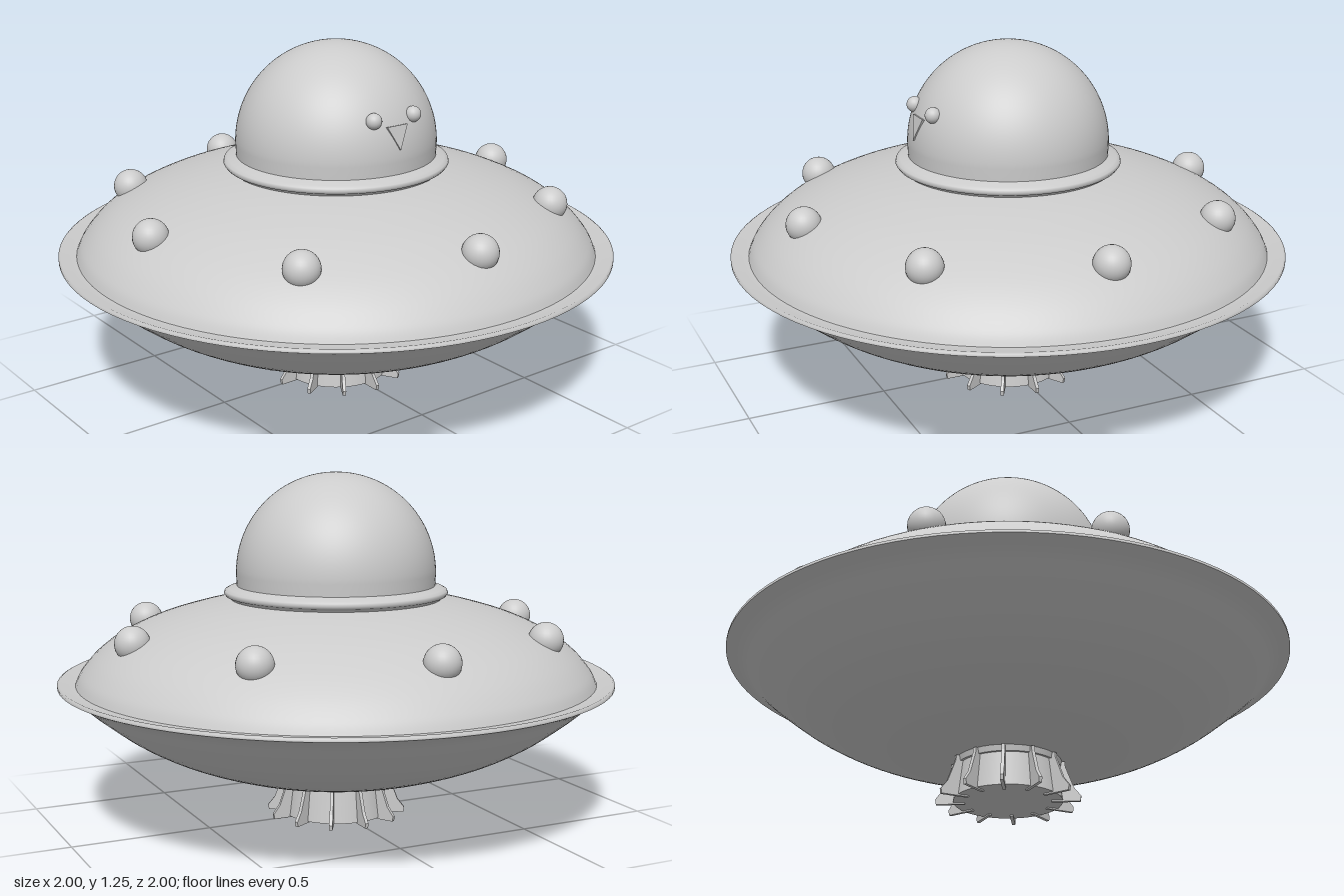
import * as THREE from 'three';

const material = new THREE.MeshStandardMaterial({ color: 0xcccccc });

function addMesh(parent, name, geometry) {
  const mesh = new THREE.Mesh(geometry, material);
  mesh.name = name;
  parent.add(mesh);
  return mesh;
}

// Smooth revolved surface; the profile runs [radius, y] from bottom to top.
function revolve(profile, smooth = 0) {
  let points = profile.map(([r, y]) => new THREE.Vector2(r, y));
  if (smooth) points = new THREE.SplineCurve(points).getPoints(smooth);
  points.forEach((p) => { p.x = Math.max(p.x, 0); });
  return new THREE.LatheGeometry(points, 96);
}

// Calls build(angle) for evenly spaced positions around the y axis.
function around(count, build) {
  for (let i = 0; i < count; i++) build((i / count) * Math.PI * 2);
}

export function createModel() {
  const model = new THREE.Group();
  model.name = 'flyingSaucer';

  // Saucer: bowl, flat rim and convex deck
  addMesh(model, 'lowerHull', revolve([
    [0, 0.135], [0.2, 0.148], [0.4, 0.183], [0.6, 0.25], [0.75, 0.327],
    [0.87, 0.415], [0.94, 0.473], [1, 0.505],
  ], 40));
  addMesh(model, 'rim', revolve([
    [1, 0.505], [1, 0.514], [0.993, 0.518], [0.96, 0.508], [0.925, 0.508],
  ]));
  addMesh(model, 'upperHull', revolve([
    [0.938, 0.505], [0.915, 0.55], [0.86, 0.612], [0.78, 0.67],
    [0.66, 0.726], [0.52, 0.769], [0.4, 0.795], [0.3, 0.81],
  ], 40));

  // Bulbs set around the deck
  const bulbs = new THREE.Group();
  bulbs.name = 'deckBulbs';
  model.add(bulbs);
  const bulbGeometry = new THREE.SphereGeometry(0.062, 28, 18);
  around(8, (angle) => {
    const bulb = addMesh(bulbs, 'deckBulb', bulbGeometry);
    bulb.position.set(Math.sin(angle) * 0.767, 0.684, Math.cos(angle) * 0.767);
  });

  // Dome and its rounded collar
  addMesh(model, 'domeCollar', revolve([
    [0.375, 0.79], [0.382, 0.805], [0.398, 0.811], [0.404, 0.82],
    [0.401, 0.83], [0.388, 0.837], [0.37, 0.842], [0.35, 0.85],
  ]));
  const dome = [[0.357, 0.82]];
  for (let i = 0; i <= 32; i++) {
    const t = (i / 32) * Math.PI / 2;
    dome.push([0.36 * Math.cos(t), 0.89 + 0.36 * Math.sin(t)]);
  }
  addMesh(model, 'dome', revolve(dome));

  // Face: two eyes and a triangular beak lying on the dome
  const face = new THREE.Group();
  face.name = 'face';
  model.add(face);
  for (const side of [-1, 1]) {
    const eye = addMesh(face, 'eye', new THREE.SphereGeometry(0.028, 20, 14));
    eye.position.set(side * 0.085, 1.037, 0.322);
  }
  const triangle = new THREE.Shape([
    new THREE.Vector2(-0.044, 0.036), new THREE.Vector2(0, -0.048), new THREE.Vector2(0.044, 0.036),
  ]);
  const beak = addMesh(face, 'beak', new THREE.ExtrudeGeometry(triangle, { depth: 0.02, bevelEnabled: false }));
  beak.position.set(0, 0.975, 0.333);
  beak.rotation.x = -0.23;

  // Thruster: closed core with flared radial fins
  const thruster = new THREE.Group();
  thruster.name = 'thruster';
  model.add(thruster);
  const core = addMesh(thruster, 'thrusterCore', new THREE.CylinderGeometry(0.172, 0.19, 0.14, 48));
  core.position.y = 0.075;
  const collar = addMesh(thruster, 'thrusterCollar', new THREE.CylinderGeometry(0.188, 0.184, 0.022, 48));
  collar.position.y = 0.137;
  const finShape = new THREE.Shape([
    new THREE.Vector2(0.15, 0), new THREE.Vector2(0.25, 0), new THREE.Vector2(0.253, 0.018),
    new THREE.Vector2(0.228, 0.05), new THREE.Vector2(0.2, 0.125), new THREE.Vector2(0.198, 0.145),
    new THREE.Vector2(0.15, 0.145),
  ]);
  const finGeometry = new THREE.ExtrudeGeometry(finShape, { depth: 0.012, bevelEnabled: false });
  finGeometry.translate(0, 0, -0.006);
  around(12, (angle) => {
    addMesh(thruster, 'thrusterFin', finGeometry).rotation.y = angle;
  });

  return model;
}
